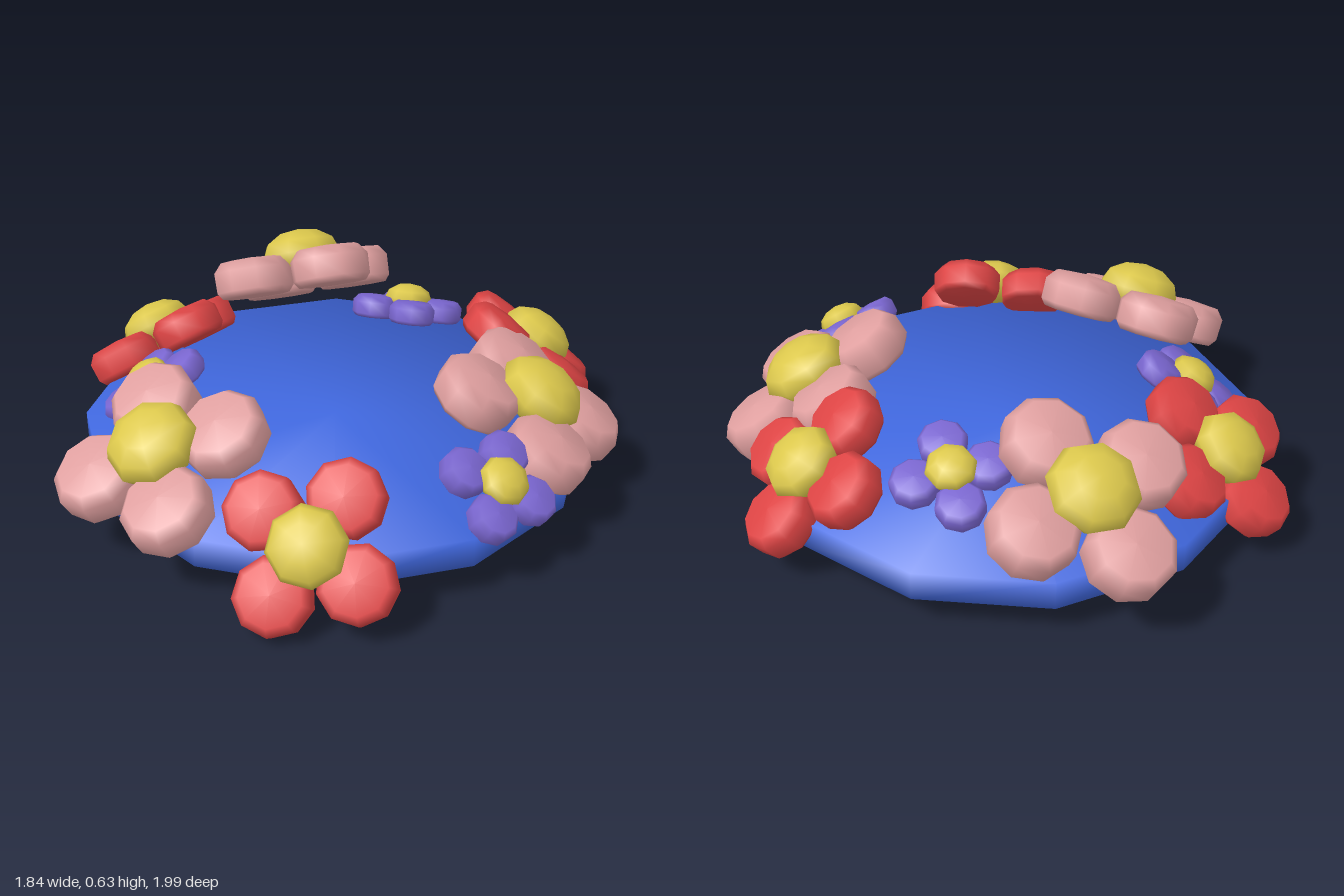
import * as THREE from 'three';

const mat = (name, color) => {
  const m = new THREE.MeshStandardMaterial({ color });
  m.name = name;
  return m;
};

export function createModel() {
  const model = new THREE.Group();
  model.name = 'flowerCrown';

  const blue = mat('blue', 0x4169e1);
  const pink = mat('pink', 0xdf9f9f);
  const red = mat('red', 0xdd4444);
  const purple = mat('purple', 0x7a66d0);
  const yellow = mat('yellow', 0xdcc84c);

  // Base: twelve-sided disc, shaded softly from the caps round to the rim
  const R = 0.85, H = 0.1;
  const baseGeo = new THREE.CylinderGeometry(R, R, H, 12);
  const p = baseGeo.attributes.position;
  for (let i = 0; i < p.count; i++) {
    baseGeo.attributes.normal.setXYZ(i, p.getX(i) / R, Math.sign(p.getY(i)), p.getZ(i) / R);
  }
  const base = new THREE.Mesh(baseGeo, blue);
  base.name = 'base';
  base.position.set(-0.04, 0.18, -0.005);
  model.add(base);

  // Petal: thick rounded disc; flower heart: flattened ball
  const profile = [[0, -0.07], [0.125, -0.068], [0.143, -0.045], [0.145, 0.03], [0.115, 0.066], [0, 0.076]];
  const petalGeo = new THREE.LatheGeometry(profile.map(([x, y]) => new THREE.Vector2(x, y)), 9);
  const heartGeo = new THREE.SphereGeometry(0.15, 8, 6);
  heartGeo.scale(1, 0.62, 1);

  // A four-petalled flower; dir is the first petal's heading seen from above
  function addFlower(name, material, size, centre, normal, dir) {
    const flower = new THREE.Group();
    flower.name = name;
    for (let i = 0; i < 4; i++) {
      const a = (i * Math.PI) / 2;
      const petal = new THREE.Mesh(petalGeo, material);
      petal.name = 'petal';
      petal.position.set(0.21 * Math.cos(a), 0, 0.21 * Math.sin(a));
      petal.rotation.y = -a;
      flower.add(petal);
    }
    const heart = new THREE.Mesh(heartGeo, yellow);
    heart.name = 'flowerHeart';
    heart.position.y = 0.07;
    flower.add(heart);

    const n = new THREE.Vector3(...normal).normalize();
    const u = new THREE.Vector3(dir[0], -(n.x * dir[0] + n.z * dir[1]) / n.y, dir[1]).normalize();
    const w = new THREE.Vector3().crossVectors(u, n);
    flower.quaternion.setFromRotationMatrix(new THREE.Matrix4().makeBasis(u, n, w));
    flower.position.set(...centre);
    flower.scale.setScalar(size);
    model.add(flower);
  }

  // Large pink flowers
  addFlower('pinkFlowerBack', pink, 1, [-0.16, 0.42, -0.7], [-0.14, 0.86, -0.49], [0.2, 0.31]);
  addFlower('pinkFlowerLeft', pink, 1, [0.6, 0.35, 0.16], [0.5, 0.86, 0.1], [0.36, -0.125]);
  addFlower('pinkFlowerRight', pink, 1, [-0.58, 0.36, 0.465], [-0.32, 0.88, 0.37], [0.415, -0.015]);

  // Medium red flowers
  addFlower('redFlowerFront', red, 0.86, [-0.11, 0.25, 0.8], [-0.16, 0.64, 0.75], [0.27, 0.17]);
  addFlower('redFlowerLeft', red, 0.86, [0.64, 0.32, -0.3], [0.6, 0.78, -0.19], [0.25, -0.185]);
  addFlower('redFlowerRight', red, 0.86, [-0.66, 0.3, -0.4], [-0.45, 0.79, -0.42], [0.21, 0.22]);

  // Small purple flowers
  addFlower('purpleFlowerBack', purple, 0.56, [0.22, 0.385, -0.475], [0.1, 0.93, -0.35], [0.24, -0.015]);
  addFlower('purpleFlowerRight', purple, 0.56, [-0.655, 0.33, -0.015], [-0.55, 0.83, 0], [0.2, 0]);
  addFlower('purpleFlowerLeft', purple, 0.56, [0.465, 0.31, 0.565], [0.4, 0.8, 0.44], [0.22, 0]);

  return model;
}
